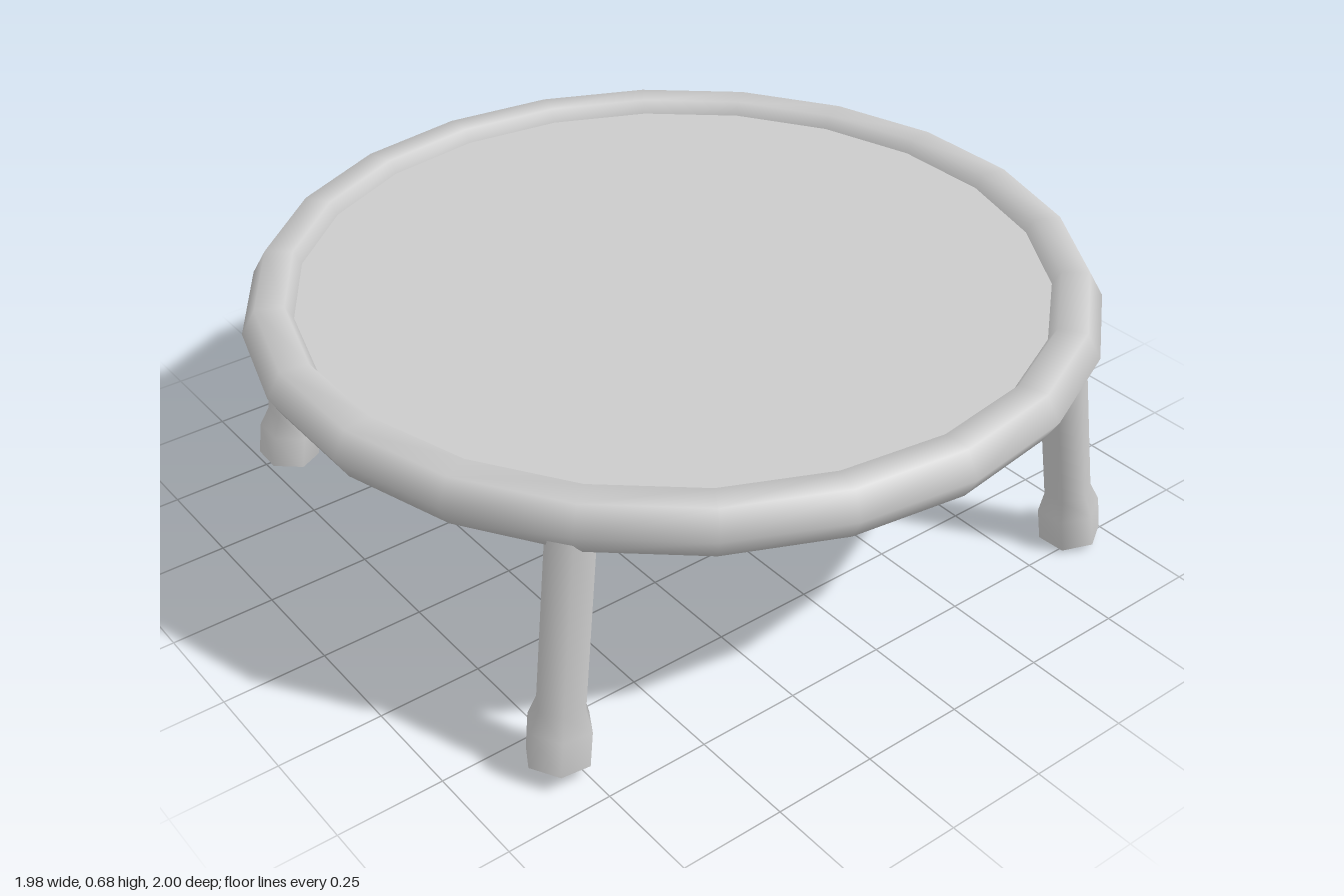
import * as THREE from 'three';

const SIDES = 22;
const grey = () => new THREE.MeshStandardMaterial({ color: 0xcccccc });

// Six-sided leg with a flared rubber foot, running from the floor up into the rim
function makeLeg(name, foot, top, turn) {
  const leg = new THREE.Group();
  leg.name = name;
  const a = new THREE.Vector3(...foot);
  const axis = new THREE.Vector3(...top).sub(a);
  const length = axis.length();
  const profile = [[0.075, 0], [0.075, 0.085], [0.057, 0.135], [0.057, length]]
    .map(([r, y]) => new THREE.Vector2(r, y));

  const tube = new THREE.Mesh(new THREE.LatheGeometry(profile, 6, turn), grey());
  tube.name = name + 'Tube';
  leg.add(tube);

  // Flat end caps
  for (const [part, radius, y, up] of [['Sole', 0.075, 0, -1], ['Top', 0.057, length, 1]]) {
    const g = new THREE.CircleGeometry(radius, 6, turn + Math.PI / 2);
    g.rotateX(-up * Math.PI / 2);
    const cap = new THREE.Mesh(g, grey());
    cap.name = name + part;
    cap.position.y = y;
    leg.add(cap);
  }

  leg.position.copy(a);
  leg.quaternion.setFromUnitVectors(new THREE.Vector3(0, 1, 0), axis.normalize());
  return leg;
}

export function createModel() {
  const model = new THREE.Group();
  model.name = 'trampoline';

  // Padded rim with a hexagonal section
  const rimGeometry = new THREE.TorusGeometry(0.933, 0.067, 6, SIDES);
  rimGeometry.rotateX(Math.PI / 2).rotateY(Math.PI / 2);
  const rim = new THREE.Mesh(rimGeometry, grey());
  rim.name = 'rim';
  rim.position.y = 0.622;
  model.add(rim);

  // Jumping mat stretched inside the rim
  const mat = new THREE.Mesh(new THREE.CylinderGeometry(0.895, 0.895, 0.022, SIDES), grey());
  mat.name = 'mat';
  mat.position.y = 0.637;
  model.add(mat);

  // Splayed legs, each set at a slightly different angle
  const t = Math.PI / 6;
  model.add(
    makeLeg('frontLeftLeg', [0.665, 0.016, 0.725], [0.585, 0.6, 0.69], 0),
    makeLeg('backLeftLeg', [0.66, 0.016, -0.755], [0.58, 0.6, -0.715], t),
    makeLeg('frontRightLeg', [-0.788, 0.042, 0.62], [-0.712, 0.6, 0.588], t),
    makeLeg('backRightLeg', [-0.685, 0.018, -0.745], [-0.612, 0.6, -0.71], 0),
  );

  return model;
}
